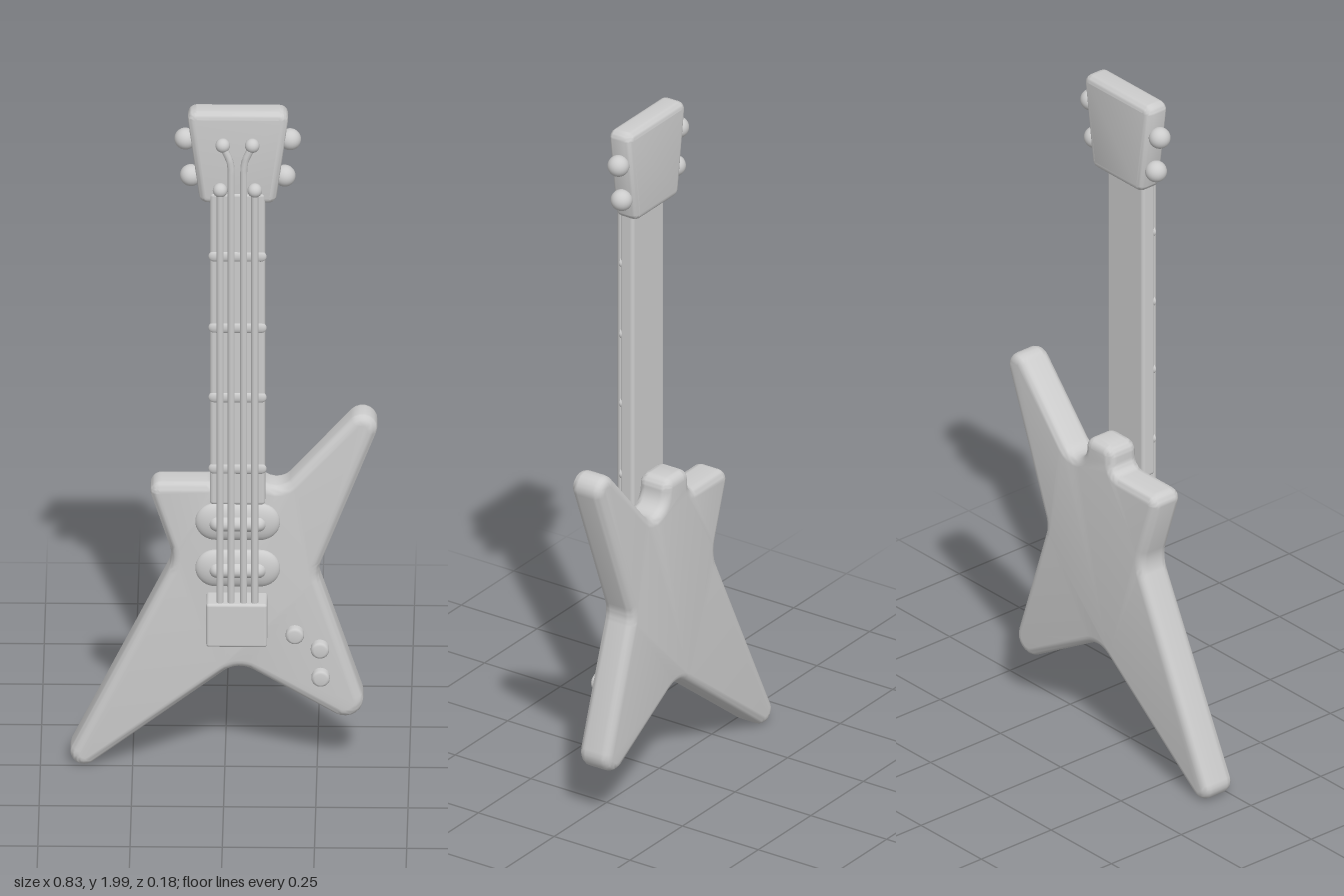
import * as THREE from 'three';
import { toCreasedNormals } from 'three/addons/utils/BufferGeometryUtils.js';
import { RoundedBoxGeometry } from 'three/addons/geometries/RoundedBoxGeometry.js';

const material = new THREE.MeshStandardMaterial({ color: 0xcccccc });
const CENTER = 0.035; // neck axis

// Counter-clockwise outline: circles [x, y, r] joined by tangent lines, negative r for hollows.
function outline(circles) {
  const n = circles.length;
  const normals = circles.map(([x, y, r], i) => {
    const [x2, y2, r2] = circles[(i + 1) % n];
    return Math.atan2(y2 - y, x2 - x) - Math.acos((r - r2) / Math.hypot(x2 - x, y2 - y));
  });
  const points = [];
  circles.forEach(([x, y, r], i) => {
    const from = normals[(i + n - 1) % n];
    const turn = normals[i] - from;
    const delta = Math.atan2(Math.sin(turn), Math.cos(turn));
    for (let k = 0; k <= 8; k++) {
      const a = from + (delta * k) / 8;
      points.push(new THREE.Vector2(x + r * Math.cos(a), y + r * Math.sin(a)));
    }
  });
  return new THREE.Shape(points);
}

// Slab between two z values with rounded rims
function slab(circles, z0, z1, bevel) {
  const geometry = new THREE.ExtrudeGeometry(outline(circles), {
    depth: z1 - z0 - 2 * bevel,
    bevelThickness: bevel,
    bevelSize: bevel,
    bevelOffset: -bevel,
    bevelSegments: 5,
  });
  geometry.translate(0, 0, z0 + bevel);
  return toCreasedNormals(geometry, 0.7);
}

export function createModel() {
  const group = new THREE.Group();
  const add = (name, geometry, x = 0, y = 0, z = 0) => {
    const mesh = new THREE.Mesh(geometry, material);
    mesh.name = name;
    mesh.position.set(x, y, z);
    group.add(mesh);
    return mesh;
  };

  // Star-shaped body with a heel behind the neck
  add('body', slab([
    [-0.172, 0.83, 0.03],
    [-0.245, 0.635, -0.1],
    [-0.382, 0.043, 0.037],
    [0.04, 0.235, -0.07],
    [0.325, 0.207, 0.05],
    [0.335, 0.59, -0.08],
    [0.372, 1.025, 0.041],
    [0.14, 0.9, -0.05],
    [0.06, 0.905, 0.03],
    [0.01, 0.905, 0.03],
    [-0.05, 0.89, -0.03],
  ], -0.09, 0.01, 0.025));

  // Neck and frets whose ends show at its sides
  add('neck', new RoundedBoxGeometry(0.15, 0.94, 0.045, 3, 0.01), CENTER, 1.29, 0.033);
  for (const y of [0.93, 1.145, 1.355, 1.57]) {
    const fret = add('fret', new THREE.CapsuleGeometry(0.016, 0.126, 6, 12), CENTER, y, 0.052);
    fret.rotation.z = Math.PI / 2;
    fret.scale.z = 0.5;
  }

  // Headstock, flaring towards the top
  add('headstock', slab([
    [-0.045, 1.75, 0.025],
    [0.117, 1.75, 0.025],
    [0.147, 1.975, 0.025],
    [-0.075, 1.975, 0.025],
  ], -0.022, 0.052, 0.02));

  // Tuning knobs, string posts and strings, mirrored about the neck axis
  for (const side of [-1, 1]) {
    for (const [y, knobX, postX] of [[1.905, 0.142, 0.04], [1.795, 0.127, 0.047]]) {
      add('tuningKnob', new THREE.SphereGeometry(0.03, 24, 16), CENTER + side * knobX, y, 0.012);
      add('stringPost', new THREE.SphereGeometry(0.02, 20, 14), CENTER + side * postX, y > 1.85 ? 1.91 : 1.775, 0.064);
    }
    const paths = [
      [[0.047, 1.775], [0.047, 0.5]],
      [[0.04, 1.91], [0.02, 1.865], [0.017, 1.84], [0.017, 0.5]],
    ];
    for (const path of paths) {
      const curve = new THREE.CurvePath();
      const points = path.map(([x, y]) => new THREE.Vector3(CENTER + side * x, y, 0.068));
      for (let i = 1; i < points.length; i++) curve.add(new THREE.LineCurve3(points[i - 1], points[i]));
      add('string', new THREE.TubeGeometry(curve, 80, 0.01, 10));
    }
  }

  // Two pickups, each with a raised cover
  for (const y of [0.61, 0.75]) {
    for (const [name, radius, length, height] of [['pickup', 0.055, 0.12, 0.022], ['pickupCover', 0.026, 0.11, 0.036]]) {
      const part = add(name, new THREE.CapsuleGeometry(radius, length, 10, 24), CENTER, y, 0.01);
      part.rotation.z = Math.PI / 2;
      part.scale.z = height / radius;
    }
  }

  // Bridge block
  add('bridge', new RoundedBoxGeometry(0.165, 0.13, 0.085, 3, 0.008), CENTER - 0.002, 0.47, 0.0425);

  // Control knobs with softened rims
  const knobProfile = [[0, 0.034], [0.016, 0.034], [0.022, 0.031], [0.025, 0.025], [0.025, 0]]
    .reverse().map(([r, h]) => new THREE.Vector2(r, h));
  for (const [x, y] of [[0.19, 0.413], [0.258, 0.37], [0.26, 0.285]]) {
    add('controlKnob', new THREE.LatheGeometry(knobProfile, 24), x, y, 0).rotation.x = Math.PI / 2;
  }
  return group;
}
